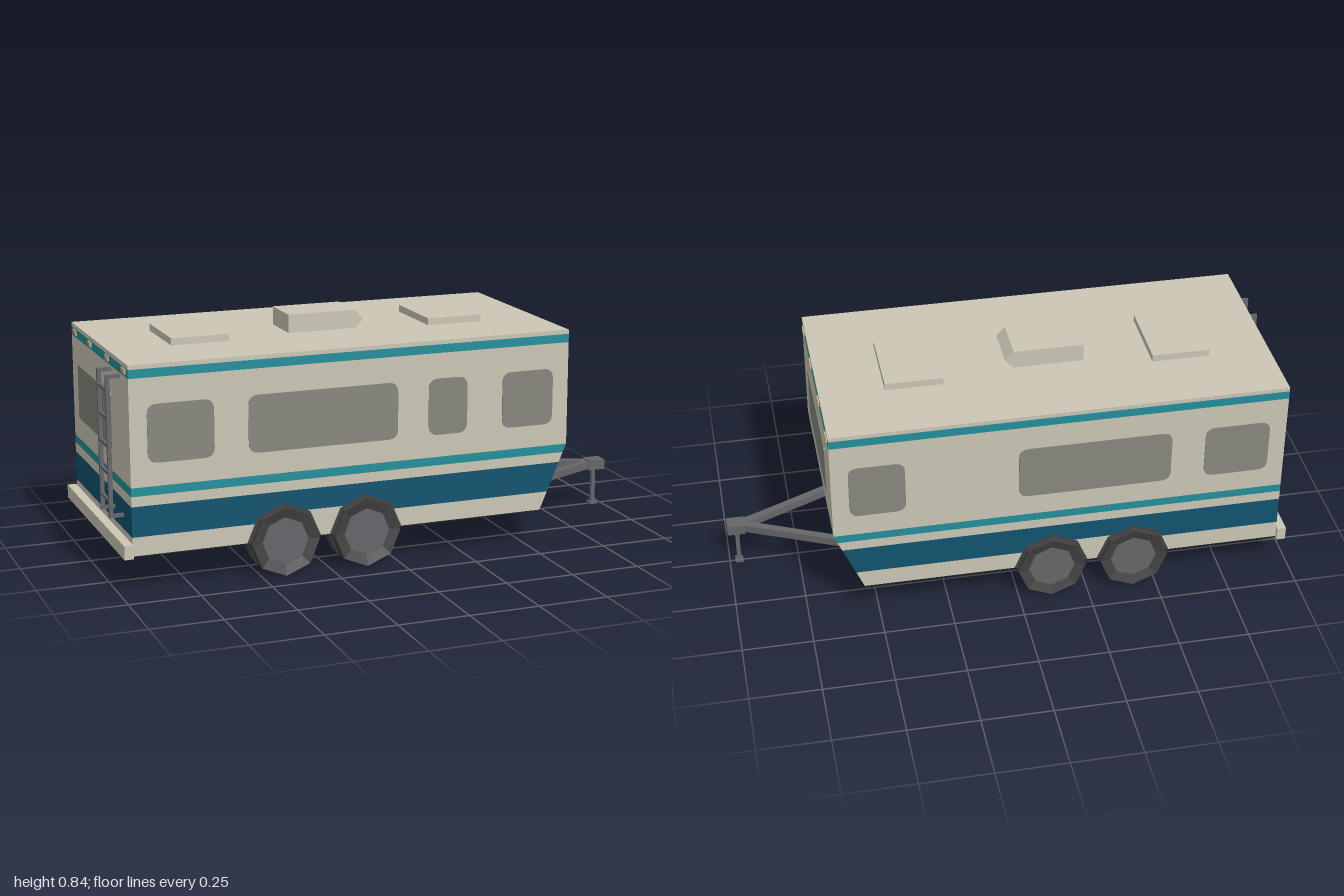
import * as THREE from 'three';

const paint = (name, color) => {
  const m = new THREE.MeshStandardMaterial({ color });
  m.name = name;
  return m;
};

export function createModel() {
  const tan = paint('tan', 0xcbc6b5), teal = paint('teal', 0x238f9b), navy = paint('navy', 0x0f536f);
  const glass = paint('window grey', 0x87877e), rubber = paint('tyre rubber', 0x434344);
  const steel = paint('steel grey', 0x66666a), black = paint('underside black', 0x222222);
  const amber = paint('amber', 0xdd9a55);
  rubber.flatShading = true;

  const model = new THREE.Group();
  model.name = 'travelTrailer';
  const add = (name, geo, mat, x = 0, y = 0, z = 0, parent = model) => {
    const mesh = new THREE.Mesh(geo, mat);
    mesh.name = name;
    mesh.position.set(x, y, z);
    parent.add(mesh);
    return mesh;
  };
  // box from its low and high limits on each axis
  const box = (name, mat, [x0, x1], [y0, y1], [z0, z1], parent) =>
    add(name, new THREE.BoxGeometry(x1 - x0, y1 - y0, z1 - z0), mat,
      (x0 + x1) / 2, (y0 + y1) / 2, (z0 + z1) / 2, parent);
  // side profile extruded across the width
  const prism = (name, mat, pts, halfWidth) => add(name,
    new THREE.ExtrudeGeometry(new THREE.Shape(pts.map(p => new THREE.Vector2(...p))),
      { depth: halfWidth * 2, bevelEnabled: false }), mat, 0, 0, -halfWidth);
  // square bar between two points
  const bar = (name, mat, a, b, t, parent = model) => {
    const from = new THREE.Vector3(...a), to = new THREE.Vector3(...b);
    const mesh = add(name, new THREE.BoxGeometry(t, t, from.distanceTo(to)), mat, 0, 0, 0, parent);
    mesh.position.copy(from).lerp(to, 0.5);
    mesh.lookAt(to);
  };
  // thin plate with rounded corners, facing +z before turning
  const plate = (name, mat, w, h, r, x, y, z, turn) => {
    const s = new THREE.Shape(), a = w / 2, b = h / 2;
    s.moveTo(-a + r, -b).lineTo(a - r, -b).quadraticCurveTo(a, -b, a, -b + r);
    s.lineTo(a, b - r).quadraticCurveTo(a, b, a - r, b);
    s.lineTo(-a + r, b).quadraticCurveTo(-a, b, -a, b - r);
    s.lineTo(-a, -b + r).quadraticCurveTo(-a, -b, -a + r, -b);
    const geo = new THREE.ExtrudeGeometry(s, { depth: 0.003, bevelEnabled: false, curveSegments: 5 });
    add(name, geo, mat, x, y, z, model).rotation.y = turn;
  };

  // body: stacked colour bands, with the nose raked below y = 0.36
  const W = 0.385, REAR = -0.95, NOSE = 0.65;
  const noseX = y => Math.min(NOSE, 0.55 + (y - 0.125) * 0.1 / 0.235);
  const bands = [
    ['skirt', tan, 0.125, 0.19], ['navyBand', navy, 0.19, 0.295], ['lowerWall', tan, 0.295, 0.33],
    ['tealStripe', teal, 0.33, 0.36], ['wall', tan, 0.36, 0.73],
    ['roofStripe', teal, 0.73, 0.76], ['roof', tan, 0.76, 0.775],
  ];
  for (const [name, mat, lo, hi] of bands)
    prism(name, mat, [[REAR, lo], [noseX(lo), lo], [noseX(hi), hi], [REAR, hi]], W);
  box('floor', black, [REAR, 0.55], [0.121, 0.125], [-W, W]);

  // windows
  const windows = [[-0.89, -0.66], [-0.54, 0], [0.115, 0.26], [0.395, 0.59]];
  windows.forEach(([x0, x1], i) => {
    const x = (x0 + x1) / 2, w = x1 - x0;
    plate('leftWindow', glass, w, 0.2, 0.035, x, 0.54, W, 0);
    if (i !== 2) plate('rightWindow', glass, w, 0.2, 0.035, x, 0.54, -W, Math.PI);
  });
  plate('frontWindow', glass, 0.488, 0.195, 0.015, NOSE, 0.538, 0, Math.PI / 2);
  plate('rearWindow', glass, 0.46, 0.195, 0.015, REAR, 0.538, -0.07, -Math.PI / 2);

  // marker lights on both ends
  for (const z of [-0.333, -0.118, 0.118, 0.333])
    for (const s of [1, -1]) {
      const x = s > 0 ? NOSE : REAR, turn = s * Math.PI / 2;
      plate('markerBase', tan, 0.048, 0.018, 0.002, x, 0.747, z, turn);
      plate('markerLight', amber, 0.034, 0.016, 0.002, x + s * 0.002, 0.747, z, turn);
    }

  // roof hatches and air conditioner
  box('rearHatch', tan, [-0.73, -0.525], [0.775, 0.8], [-0.138, 0.135]);
  box('frontHatch', tan, [0.218, 0.422], [0.775, 0.8], [-0.138, 0.135]);
  prism('airConditioner', tan,
    [[-0.29, 0.775], [-0.04, 0.775], [-0.01, 0.805], [-0.04, 0.84], [-0.29, 0.84]], 0.083);

  // wheels: paired tyres on each side of two axles
  const R = 0.122;
  const tyre = new THREE.LatheGeometry([[0, -0.02], [0.085, -0.02], [R, -0.031], [R, 0.031], [0.085, 0.02], [0, 0.02]]
    .map(p => new THREE.Vector2(...p)), 8);
  tyre.rotateX(Math.PI / 2);
  const hub = new THREE.CylinderGeometry(0.083, 0.083, 0.046, 8).rotateX(Math.PI / 2);
  const axle = new THREE.CylinderGeometry(0.034, 0.034, 0.62, 12).rotateX(Math.PI / 2);
  const arc = [0, 1, 2, 3, 4].map(i => i * Math.PI / 4);
  for (const x of [-0.417, -0.119]) {
    add('axle', axle, rubber, x, R, 0);
    prism('wheelArch', rubber, arc.map(a => [x + 0.133 * Math.cos(a), 0.125 + 0.128 * Math.sin(a)]), W + 0.003);
    for (const s of [1, -1])
      for (const z of [0.3, 0.376]) {
        add('tyre', tyre, rubber, x, R, s * z);
        add('hub', hub, steel, x, R, s * z);
      }
  }
  // fender panel between the wheels
  prism('fenderPanel', tan, [[-0.285, 0.126], [-0.25, 0.126], [-0.2, 0.22], [-0.335, 0.22]], W + 0.002);

  // hitch: A-frame, coupler and jack
  const hitch = new THREE.Group();
  hitch.name = 'hitch';
  model.add(hitch);
  for (const s of [1, -1])
    bar('hitchArm', steel, [0.54, 0.158, s * 0.188], [0.955, 0.158, 0], 0.028, hitch);
  box('coupler', steel, [0.935, 1], [0.139, 0.176], [-0.028, 0.028], hitch);
  box('jackPost', steel, [0.958, 0.973], [0.008, 0.14], [-0.007, 0.007], hitch);
  box('jackFoot', steel, [0.951, 0.98], [0, 0.009], [-0.015, 0.015], hitch);

  // rear bumper
  box('rearBumper', tan, [-0.982, REAR], [0.12, 0.168], [-0.4, 0.4]);

  // rear ladder
  const ladder = new THREE.Group();
  ladder.name = 'ladder';
  model.add(ladder);
  for (const z of [0.168, 0.28]) {
    box('ladderRail', steel, [-1, -0.986], [0.235, 0.725], [z - 0.006, z + 0.006], ladder);
    for (const y of [0.241, 0.719])
      box('ladderBracket', steel, [-0.99, REAR], [y - 0.006, y + 0.006], [z - 0.006, z + 0.006], ladder);
  }
  for (let i = 0; i < 5; i++) {
    const y = 0.29 + i * 0.095;
    box('ladderRung', steel, [-0.998, -0.988], [y - 0.005, y + 0.005], [0.17, 0.278], ladder);
  }
  return model;
}
